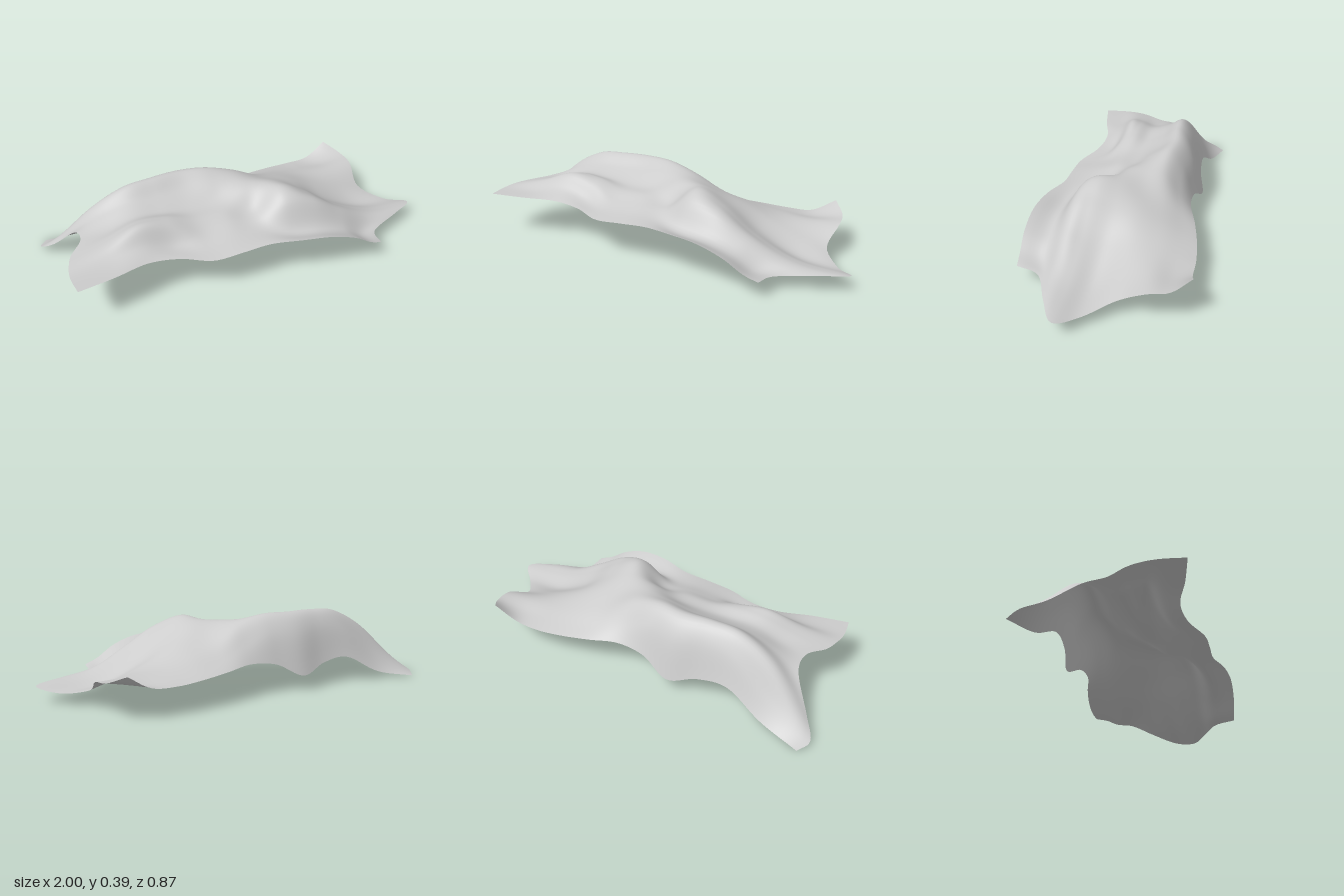
import * as THREE from 'three';

// Cross-sections of the cloth from right (-x) to left (+x):
// [x, back edge z, front edge z, heights from back to front]
const SECTIONS = [
  [-0.85, -0.365, 0.385, [0.0, 0.02, 0.085, 0.21, 0.235, 0.23, 0.23, 0.227, 0.228]],
  [-0.70, -0.32, 0.345, [0.04, 0.14, 0.27, 0.28, 0.26, 0.27, 0.27, 0.235, 0.225]],
  [-0.55, -0.29, 0.295, [0.135, 0.28, 0.37, 0.325, 0.30, 0.32, 0.325, 0.26, 0.22]],
  [-0.40, -0.30, 0.305, [0.125, 0.31, 0.388, 0.33, 0.295, 0.312, 0.295, 0.225, 0.21]],
  [-0.25, -0.335, 0.365, [0.08, 0.295, 0.388, 0.335, 0.285, 0.275, 0.245, 0.215, 0.20]],
  [-0.10, -0.31, 0.37, [0.15, 0.30, 0.383, 0.352, 0.295, 0.275, 0.25, 0.225, 0.21]],
  [0.05, -0.315, 0.37, [0.17, 0.25, 0.335, 0.35, 0.338, 0.27, 0.248, 0.22, 0.22]],
  [0.20, -0.36, 0.41, [0.16, 0.20, 0.255, 0.30, 0.345, 0.365, 0.325, 0.205, 0.23]],
  [0.35, -0.395, 0.43, [0.148, 0.175, 0.215, 0.255, 0.275, 0.305, 0.30, 0.19, 0.223]],
  [0.50, -0.415, 0.43, [0.14, 0.157, 0.18, 0.19, 0.165, 0.19, 0.212, 0.15, 0.18]],
  [0.65, -0.42, 0.42, [0.15, 0.15, 0.165, 0.135, 0.08, 0.10, 0.12, 0.09, 0.118]],
  [0.80, -0.44, 0.41, [0.22, 0.18, 0.162, 0.09, 0.057, 0.08, 0.085, 0.078, 0.09]],
];

// Row positions between the back edge (-1) and the front edge (1)
const ROWS = [-1, -0.8, -0.55, -0.25, 0.05, 0.3, 0.5, 0.72, 1];

// Wavy outline of the two short ends, x per row
const RIGHT_END = [-0.96, -0.995, -0.93, -0.83, -0.82, -0.885, -0.91, -0.92, -0.905];
const LEFT_END = [0.745, 0.81, 0.825, 0.81, 0.91, 1, 0.87, 0.69, 0.66];

// How strongly an end's outline shifts its nearest sections
const FADE = [1, 0.45, 0.1];

function createClothGeometry(nu, nv) {
  const last = SECTIONS.length - 1;

  // Smooth curve through each cross-section
  const sections = SECTIONS.map(([x, back, front, heights], i) => {
    const points = heights.map((y, j) => {
      const dx = (FADE[i] ?? 0) * (RIGHT_END[j] - SECTIONS[0][0])
        + (FADE[last - i] ?? 0) * (LEFT_END[j] - SECTIONS[last][0]);
      const v = ROWS[j];
      return new THREE.Vector3(x + dx, y, v < 0 ? -v * back : v * front);
    });
    return new THREE.CatmullRomCurve3(points, false, 'catmullrom', 0.5);
  });

  // Smooth curves lengthwise across the sections
  const positions = [];
  const index = [];
  for (let j = 0; j <= nv; j++) {
    const across = sections.map((curve) => curve.getPoint(j / nv));
    const lengthwise = new THREE.CatmullRomCurve3(across, false, 'catmullrom', 0.5);
    for (let i = 0; i <= nu; i++) {
      const p = lengthwise.getPoint(i / nu);
      positions.push(p.x, Math.max(p.y, 0), p.z);
      if (i < nu && j < nv) {
        const a = j * (nu + 1) + i;
        const b = a + nu + 1;
        index.push(a, b, a + 1, a + 1, b, b + 1);
      }
    }
  }

  const geometry = new THREE.BufferGeometry();
  geometry.setAttribute('position', new THREE.Float32BufferAttribute(positions, 3));
  geometry.setIndex(index);
  geometry.computeVertexNormals();
  return geometry;
}

export function createModel() {
  const group = new THREE.Group();
  group.name = 'drapedCloth';

  const material = new THREE.MeshStandardMaterial({ color: 0xcccccc, side: THREE.DoubleSide });
  const cloth = new THREE.Mesh(createClothGeometry(88, 48), material);
  cloth.name = 'clothSheet';
  group.add(cloth);
  return group;
}
